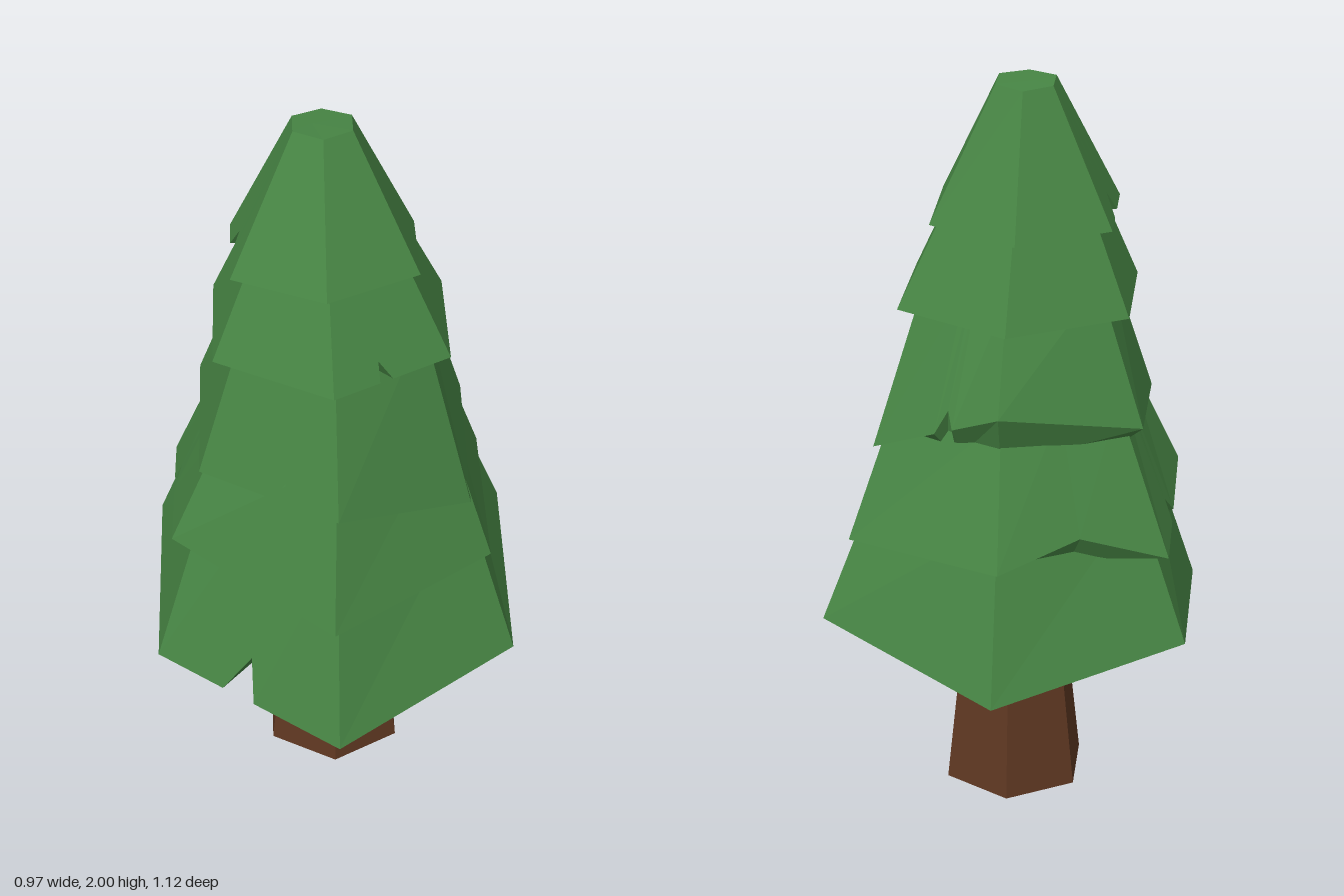
import * as THREE from 'three';

const green = new THREE.MeshStandardMaterial({ color: 0x478544, flatShading: true });
const brown = new THREE.MeshStandardMaterial({ color: 0x5f3822, flatShading: true });

// Six corners, the first facing front; y is one height or one per corner
function hexagon({ x = 0, z = 0, r, y }) {
  return Array.from({ length: 6 }, (_, i) => {
    const a = (i * Math.PI) / 3;
    return new THREE.Vector3(x + r * Math.sin(a), Array.isArray(y) ? y[i] : y, z + r * Math.cos(a));
  });
}

// Joins closed rings, listed from the top cap over the outside to the underside
function loft(rings) {
  const points = [];
  for (let k = 0; k < rings.length - 1; k++) {
    const upper = rings[k], lower = rings[k + 1];
    for (let i = 0; i < upper.length; i++) {
      const j = (i + 1) % upper.length;
      points.push(lower[i], lower[j], upper[j], lower[i], upper[j], upper[i]);
    }
  }
  const geometry = new THREE.BufferGeometry().setFromPoints(points);
  geometry.computeVertexNormals();
  return geometry;
}

const centreRing = (ring) => {
  const c = ring.reduce((sum, p) => sum.add(p), new THREE.Vector3()).divideScalar(ring.length);
  return ring.map(() => c);
};

// One skirt of branches; cuts are [side, position along side, lift towards the top]
function branchTier({ top, hem, lip, cavity, cuts = [] }) {
  const tops = hexagon(top), hems = hexagon(hem);
  const lips = hexagon({ ...lip, y: lip.y ?? hem.y });
  const inner = cavity ? hexagon(cavity) : lips;
  const ringTop = [], ringHem = [], ringLip = [], ringInner = [];
  for (let side = 0; side < 6; side++) {
    const next = (side + 1) % 6;
    const stops = [[side, 0, 0], ...cuts.filter((c) => c[0] === side)];
    for (const [, t, lift] of stops) {
      const at = (ring) => ring[side].clone().lerp(ring[next], t);
      const t0 = at(tops), h = at(hems), l = at(lips);
      if (cavity) l.y += (t0.y - h.y) * lift;
      ringTop.push(t0);
      ringHem.push(h.lerp(t0, lift));
      ringLip.push(l);
      ringInner.push(at(inner));
    }
  }
  const rings = [centreRing(ringTop), ringTop, ringHem, ringLip];
  if (cavity) rings.push(ringInner);
  rings.push(centreRing(ringInner));
  return loft(rings);
}

const tiers = [
  { // lowest, hollow underneath
    top: { r: 0.40, y: 0.95 },
    hem: { r: 0.56, y: [0.395, 0.495, 0.585, 0.495, 0.565, 0.495] },
    lip: { r: 0.39 },
    cavity: { r: 0.32, y: 0.68 },
    cuts: [[5, 0.36, 0], [5, 0.49, 0.25], [5, 0.53, 0]],
  },
  {
    top: { z: 0.02, r: 0.33, y: 1.2 },
    hem: { x: -0.01, z: -0.005, r: 0.49, y: [0.73, 0.795, 0.81, 0.85, 0.80, 0.87] },
    lip: { r: 0.42, y: 0.82 },
    cuts: [[3, 0.5, 0.18], [4, 0.35, 0], [4, 0.37, 0.15], [4, 0.47, 0]],
  },
  {
    top: { x: -0.005, z: 0.04, r: 0.26, y: 1.5 },
    hem: { z: 0.03, r: 0.41, y: [1.075, 0.97, 1.05, 1.23, 1.135, 1.09] },
    lip: { z: 0.02, r: 0.34, y: 1.08 },
    cuts: [[2, 0.5, 0], [2, 0.58, 0.15], [2, 0.64, 0], [5, 0.54, 0], [5, 0.61, 0.12], [5, 0.64, 0]],
  },
  {
    top: { x: -0.02, z: 0.045, r: 0.20, y: 1.72 },
    hem: { x: -0.01, z: 0.04, r: 0.347, y: 1.423 },
    lip: { z: 0.04, r: 0.26, y: 1.42 },
    cuts: [[0, 0.39, 0], [0, 0.41, 0.17], [0, 0.5, 0]],
  },
  { // crown
    top: { x: -0.027, z: 0.03, r: 0.085, y: [2, 2, 1.995, 1.99, 1.995, 2] },
    hem: { x: -0.025, z: 0.05, r: 0.272, y: [1.665, 1.655, 1.64, 1.635, 1.64, 1.65] },
    lip: { x: -0.02, z: 0.045, r: 0.20, y: 1.65 },
    cuts: [[4, 0.35, 0], [4, 0.48, 0.16], [4, 0.6, 0]],
  },
];

export function createModel() {
  const tree = new THREE.Group();
  tree.name = 'pineTree';

  // Tapered trunk, ending inside the branches
  const trunk = new THREE.Mesh(new THREE.CylinderGeometry(0.125, 0.205, 0.7, 6), brown);
  trunk.position.y = 0.35;
  trunk.name = 'trunk';
  tree.add(trunk);

  // Stacked branch tiers
  tiers.forEach((tier, i) => {
    const mesh = new THREE.Mesh(branchTier(tier), green);
    mesh.name = `branchTier${i + 1}`;
    tree.add(mesh);
  });
  return tree;
}
